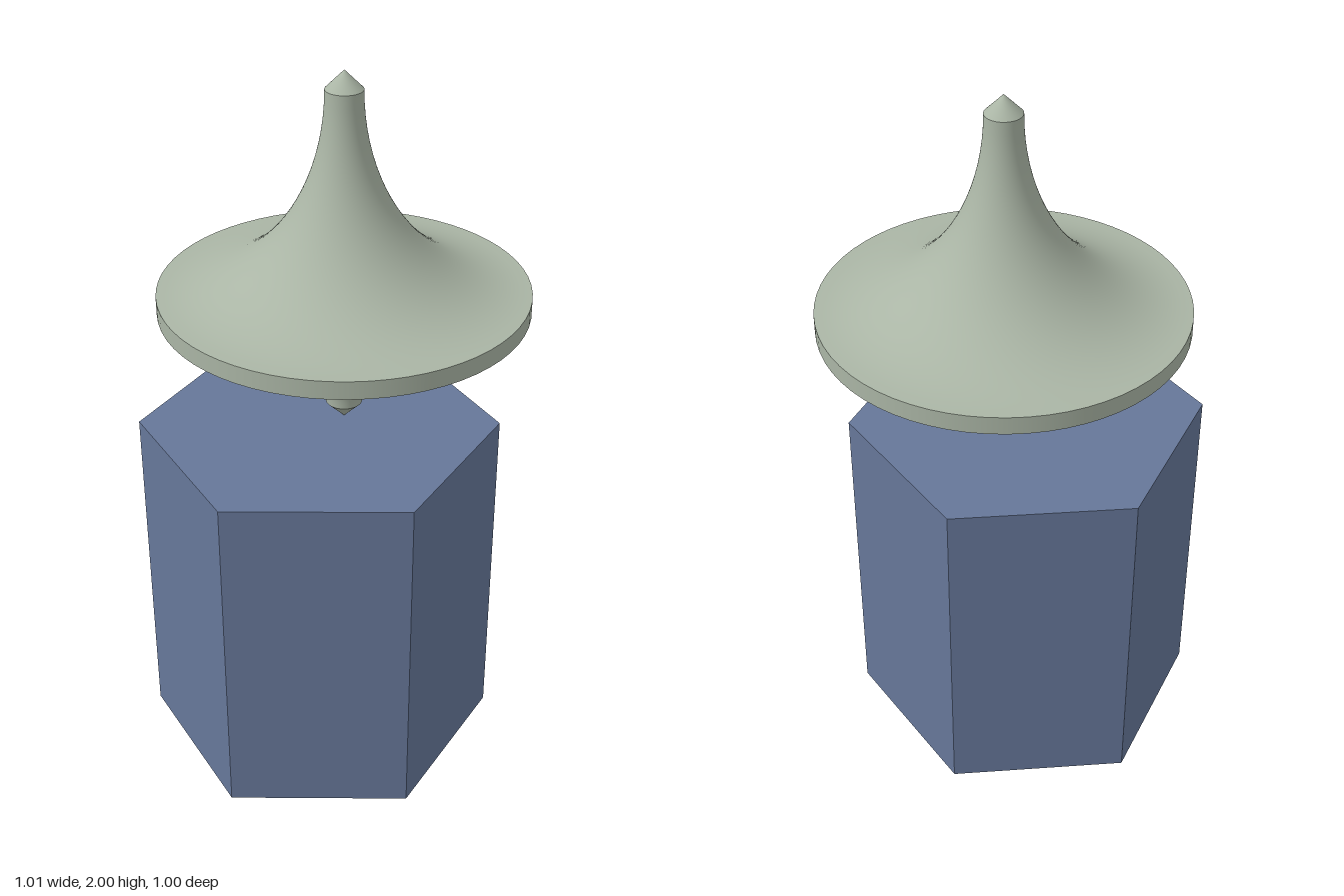
import * as THREE from 'three';
import { mergeGeometries } from 'three/addons/utils/BufferGeometryUtils.js';

const SIDES = 64;
const AXIS_X = 0.006;

// quarter-ellipse profile flaring between the stem and the disc rim
function flare(yStem, yRim, steps = 24) {
  const points = [];
  for (let i = 0; i <= steps; i++) {
    const a = (i / steps) * Math.PI / 2;
    points.push(new THREE.Vector2(0.5 - 0.45 * Math.cos(a), yStem + (yRim - yStem) * Math.sin(a)));
  }
  return points;
}

const line = (...pairs) => pairs.map(([x, y]) => new THREE.Vector2(x, y));

export function createModel() {
  const model = new THREE.Group();

  // hexagonal pedestal, set slightly to the right
  const pedestal = new THREE.Mesh(
    new THREE.CylinderGeometry(0.5, 0.5, 1, 6),
    new THREE.MeshStandardMaterial({ color: 0x667799, flatShading: true })
  );
  pedestal.name = 'pedestal';
  pedestal.position.set(-0.073, 0.5, 0);
  model.add(pedestal);

  // spinning top: one lathe per profile section keeps the creases sharp
  const sections = [
    line([0, 1], [0.05, 1.05]),          // lower tip
    flare(1.05, 1.35),                   // underside
    line([0.5, 1.35], [0.5, 1.4]),       // rim
    flare(1.95, 1.4).reverse(),          // upper side
    line([0.05, 1.95], [0, 2]),          // upper tip
  ];
  const top = new THREE.Mesh(
    mergeGeometries(sections.map((points) => new THREE.LatheGeometry(points, SIDES))),
    new THREE.MeshStandardMaterial({ color: 0xaab5a5 })
  );
  top.name = 'spinningTop';
  top.position.x = AXIS_X;
  model.add(top);

  return model;
}
